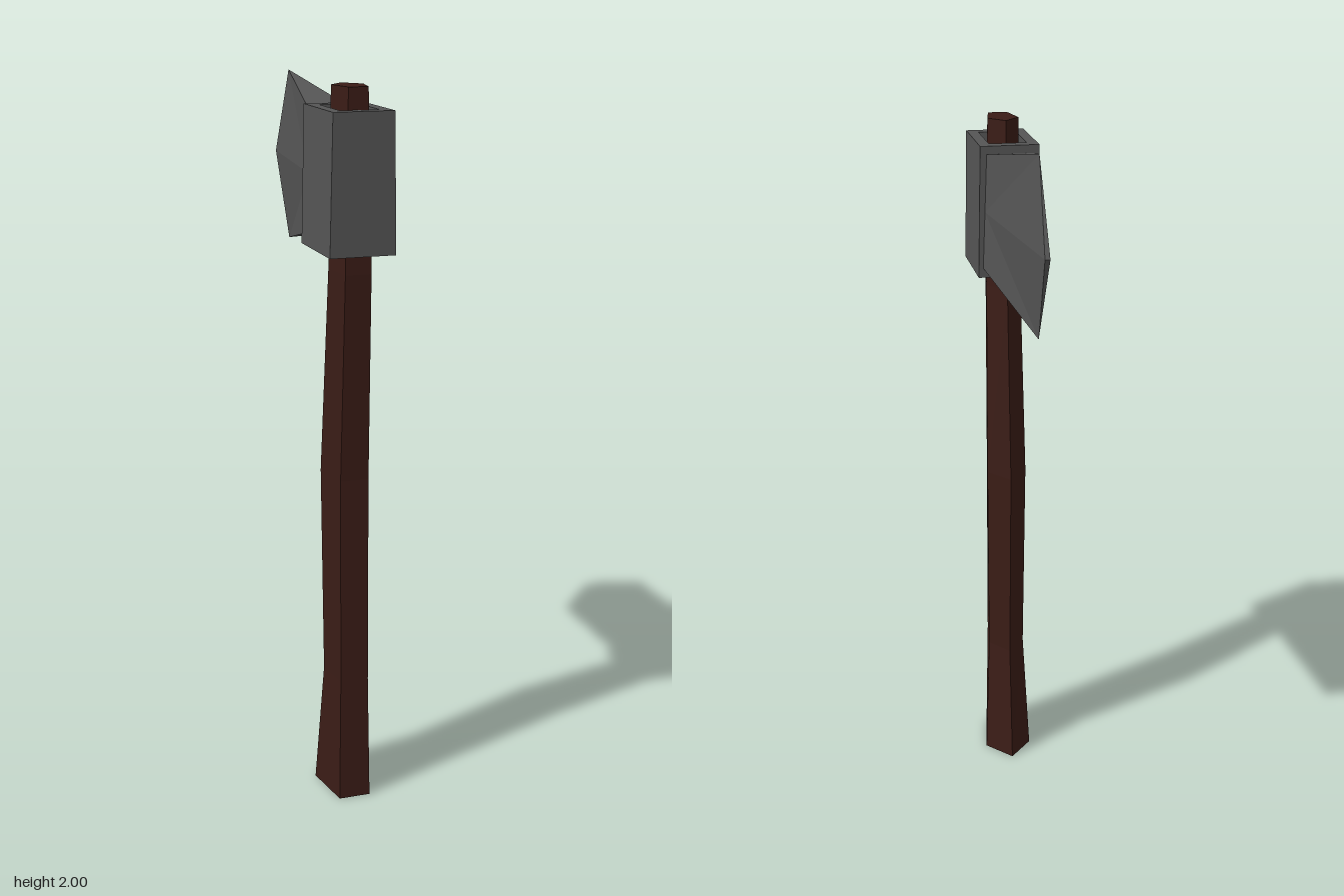
import * as THREE from 'three';

const wood = new THREE.MeshStandardMaterial({ color: 0x3a1c16, flatShading: true });
const metal = new THREE.MeshStandardMaterial({ color: 0x555555, flatShading: true });

// Flat-shaded mesh from corner points and polygons listed counter-clockwise from outside
function polyMesh(name, points, polygons, material) {
  const position = [];
  for (const p of polygons)
    for (let i = 1; i < p.length - 1; i++)
      position.push(...points[p[0]], ...points[p[i]], ...points[p[i + 1]]);
  const geometry = new THREE.BufferGeometry();
  geometry.setAttribute('position', new THREE.Float32BufferAttribute(position, 3));
  geometry.computeVertexNormals();
  const mesh = new THREE.Mesh(geometry, material);
  mesh.name = name;
  return mesh;
}

// Curved handle: five-sided sections with a flat front and a ridge at the back
function createHandle() {
  // y, front z, side z, ridge z, front half width, side half width
  const sections = [
    [0, 0.35, 0.2, 0.12, 0.045, 0.07],
    [0.36, 0.34, 0.23, 0.16, 0.04, 0.054],
    [0.95, 0.33, 0.21, 0.135, 0.04, 0.058],
    [1.52, 0.35, 0.25, 0.185, 0.036, 0.05],
    [2, 0.34, 0.25, 0.2, 0.027, 0.044],
  ];
  const points = [];
  for (const [y, front, side, ridge, fw, sw] of sections)
    points.push([-fw, y, front], [fw, y, front], [sw, y, side], [0, y, ridge], [-sw, y, side]);
  const polygons = [[4, 3, 2, 1, 0]];
  for (let s = 0; s < sections.length - 1; s++)
    for (let i = 0; i < 5; i++) {
      const a = s * 5 + i, b = s * 5 + (i + 1) % 5;
      polygons.push([a, b, b + 5, a + 5]);
    }
  const t = (sections.length - 1) * 5;
  polygons.push([t, t + 1, t + 2, t + 3, t + 4]);
  return polyMesh('handle', points, polygons, wood);
}

// Hollow collar, slightly narrower at the top
function createCollar() {
  const rect = (Type, w, z0, z1) => {
    const r = new Type();
    r.moveTo(-w, -z1);
    r.lineTo(w, -z1);
    r.lineTo(w, -z0);
    r.lineTo(-w, -z0);
    r.closePath();
    return r;
  };
  const shape = rect(THREE.Shape, 0.09, 0.14, 0.386);
  shape.holes.push(rect(THREE.Path, 0.053, 0.175, 0.35));
  const geometry = new THREE.ExtrudeGeometry(shape, { depth: 0.37, bevelEnabled: false });
  geometry.rotateX(-Math.PI / 2).translate(0, 1.573, 0);
  const p = geometry.attributes.position;
  for (let i = 0; i < p.count; i++)
    if (Math.abs(p.getX(i)) > 0.06 && p.getY(i) > 1.8) p.setX(i, Math.sign(p.getX(i)) * 0.083);
  geometry.computeVertexNormals();
  const mesh = new THREE.Mesh(geometry, metal);
  mesh.name = 'collar';
  return mesh;
}

// Wedge blade flaring from the collar to a pointed cutting edge
function createBlade() {
  const points = [
    [0.077, 1.6, 0.14], [0.065, 1.92, 0.14], [-0.065, 1.92, 0.14], [-0.077, 1.6, 0.14],
    [0, 2, -0.275], [0, 1.515, -0.275],
    [0.007, 1.757, -0.386], [-0.007, 1.757, -0.386],
    [0.071, 1.76, 0.14], [-0.071, 1.76, 0.14],
  ];
  const polygons = [
    [8, 6, 4, 1], [8, 0, 5, 6], // left side
    [9, 2, 4, 7], [9, 7, 5, 3], // right side
    [1, 4, 2], [0, 3, 5], // top and bottom
    [4, 6, 7], [5, 7, 6], // cutting edge
    [0, 8, 1, 2, 9, 3], // root
  ];
  return polyMesh('blade', points, polygons, metal);
}

export function createModel() {
  const model = new THREE.Group();
  model.name = 'axe';
  const head = new THREE.Group();
  head.name = 'head';
  head.add(createCollar(), createBlade());
  model.add(createHandle(), head);
  return model;
}
